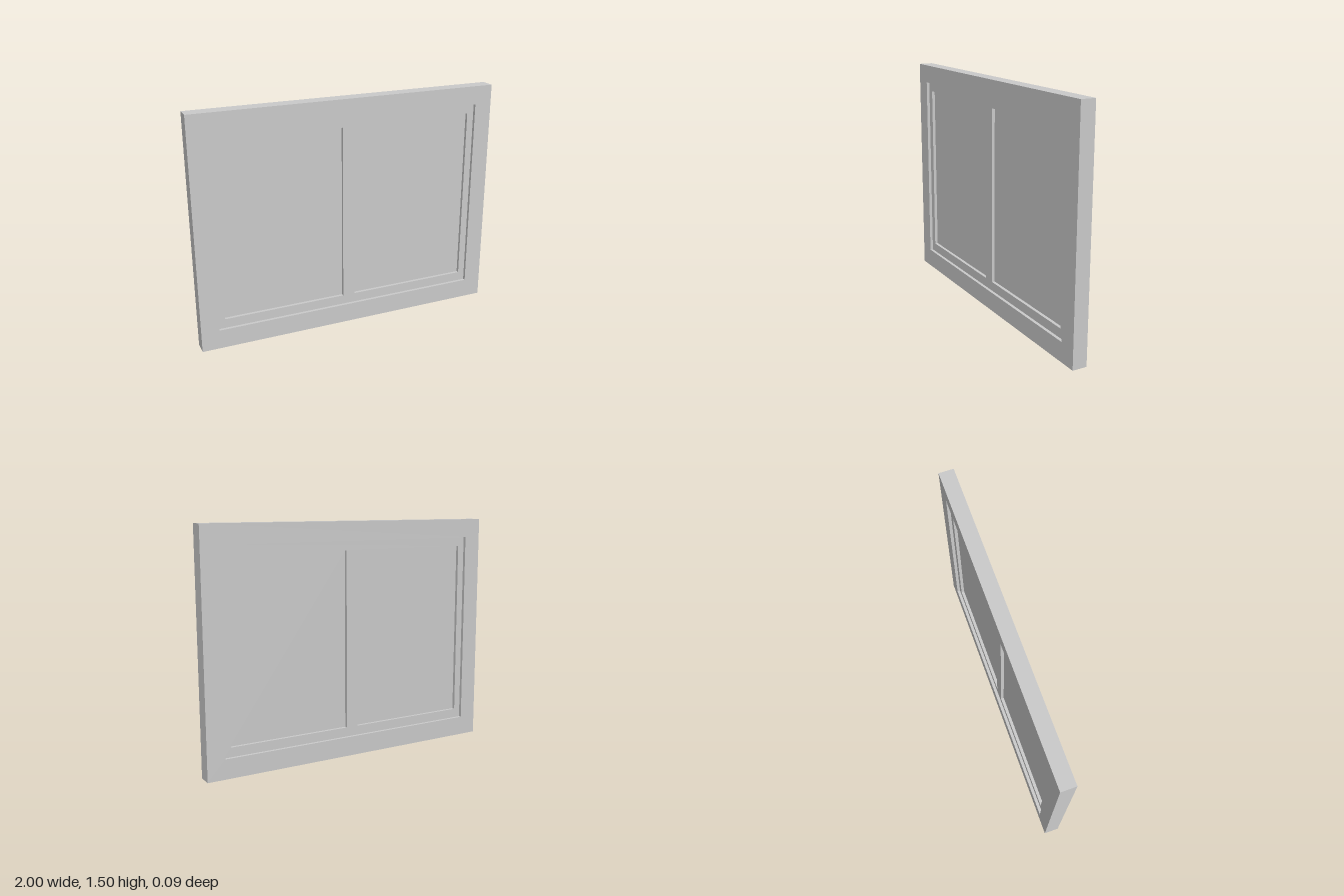
import * as THREE from 'three';

const material = new THREE.MeshStandardMaterial({ color: 0xcccccc });

function rect(target, x0, y0, x1, y1) {
  target.moveTo(x0, y0);
  target.lineTo(x1, y0);
  target.lineTo(x1, y1);
  target.lineTo(x0, y1);
  target.closePath();
  return target;
}

// Flat rectangular frame with rectangular openings, centred on z = 0
function frame(name, outer, openings, depth) {
  const shape = rect(new THREE.Shape(), ...outer);
  for (const o of openings) shape.holes.push(rect(new THREE.Path(), ...o));
  const geometry = new THREE.ExtrudeGeometry(shape, { depth, bevelEnabled: false });
  geometry.translate(0, 0, -depth / 2);
  const mesh = new THREE.Mesh(geometry, material);
  mesh.name = name;
  return mesh;
}

export function createModel() {
  const group = new THREE.Group();
  group.name = 'window';

  const opening = [-0.885, 0.125, 0.885, 1.385];
  const panes = [[-0.84, 0.185, -0.04, 1.325], [0.04, 0.185, 0.84, 1.325]];

  // Thick outer frame, and the thinner sash with its central mullion
  group.add(frame('outerFrame', [-1, 0, 1, 1.505], [opening], 0.094));
  group.add(frame('sash', opening, panes, 0.054));

  // One glass pane in each sash opening
  panes.forEach(([x0, y0, x1, y1], i) => {
    const pane = new THREE.Mesh(new THREE.BoxGeometry(x1 - x0, y1 - y0, 0.014), material);
    pane.position.set((x0 + x1) / 2, (y0 + y1) / 2, 0);
    pane.name = i ? 'leftPane' : 'rightPane';
    group.add(pane);
  });

  return group;
}
